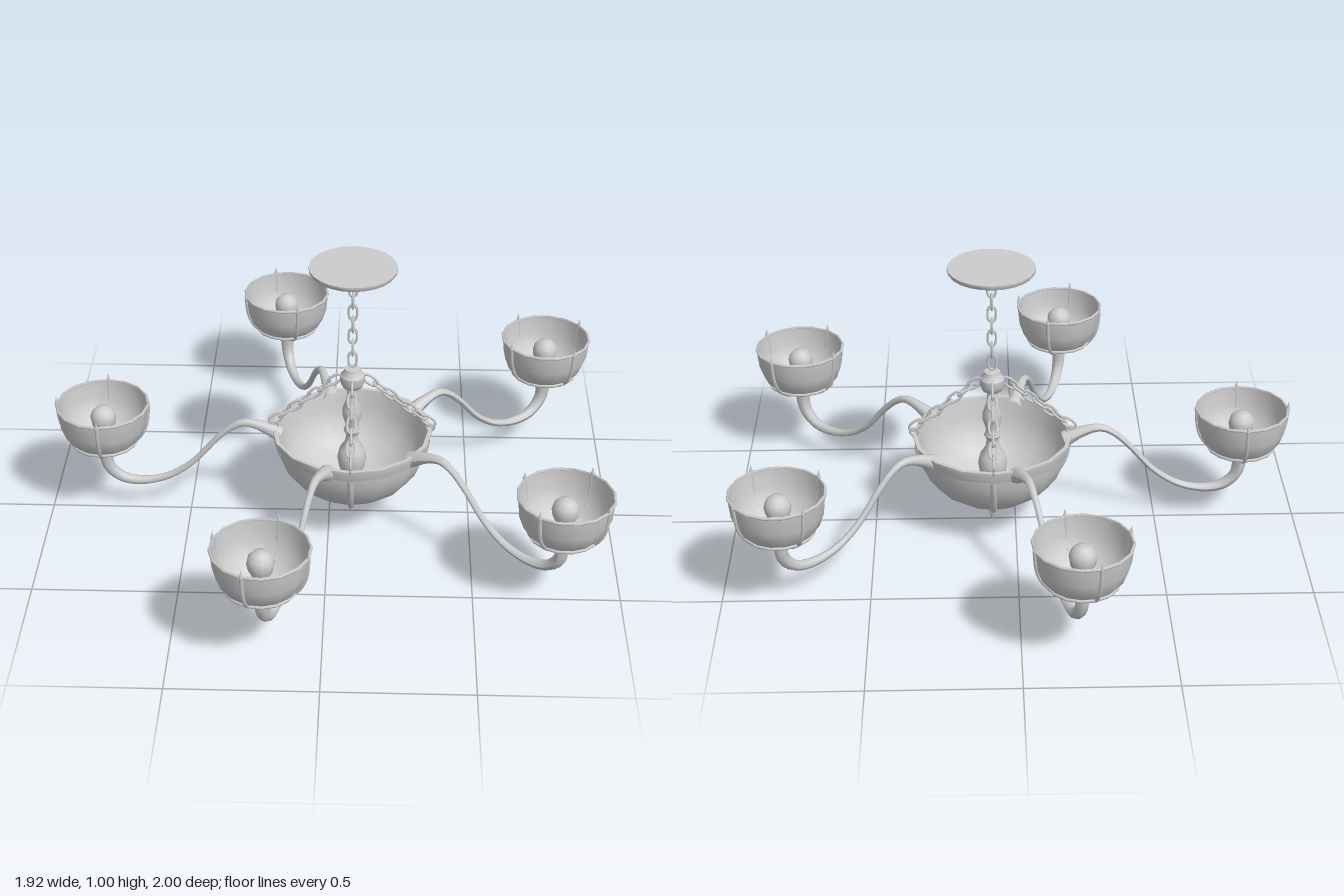
import * as THREE from 'three';
import { toCreasedNormals } from 'three/addons/utils/BufferGeometryUtils.js';

const material = new THREE.MeshStandardMaterial({ color: 0xcccccc, side: THREE.DoubleSide });
const V3 = (x, y, z = 0) => new THREE.Vector3(x, y, z);

function add(parent, name, geometry) {
  const mesh = new THREE.Mesh(geometry, material);
  mesh.name = name;
  parent.add(mesh);
  return mesh;
}

// Turned part from [radius, height] pairs, listed bottom to top
function turned(profile, sides = 16) {
  const points = profile.map(([r, y]) => new THREE.Vector2(r, y));
  return toCreasedNormals(new THREE.LatheGeometry(points, sides), 0.7);
}

// Tube whose thickness follows a list of radii spread evenly along it
function taperedTube(points, radii, segments = 32, sides = 8) {
  const curve = new THREE.CatmullRomCurve3(points);
  const geometry = new THREE.TubeGeometry(curve, segments, 1, sides);
  const pos = geometry.attributes.position;
  const p = V3(0, 0);
  for (let i = 0; i < pos.count; i++) {
    const t = Math.floor(i / (sides + 1)) / segments;
    const s = t * (radii.length - 1);
    const k = Math.min(Math.floor(s), radii.length - 2);
    const r = THREE.MathUtils.lerp(radii[k], radii[k + 1], s - k);
    const centre = curve.getPointAt(t);
    p.fromBufferAttribute(pos, i).sub(centre).multiplyScalar(r).add(centre);
    pos.setXYZ(i, p.x, p.y, p.z);
  }
  geometry.computeVertexNormals();
  return geometry;
}

// Oval chain link standing in the xy plane
const w = 0.013, h = 0.027;
const linkCurve = new THREE.CatmullRomCurve3([
  V3(w, -h * 0.6), V3(w, h * 0.6), V3(w * 0.55, h), V3(-w * 0.55, h),
  V3(-w, h * 0.6), V3(-w, -h * 0.6), V3(-w * 0.55, -h), V3(w * 0.55, -h),
], true, 'centripetal');
const linkGeometry = new THREE.TubeGeometry(linkCurve, 20, 0.0045, 6, true);

function chain(parent, name, from, to, count) {
  const group = new THREE.Group();
  group.name = name;
  const direction = to.clone().sub(from).normalize();
  for (let i = 0; i < count; i++) {
    const link = add(group, 'chainLink', linkGeometry);
    link.position.lerpVectors(from, to, (i + 0.5) / count);
    link.quaternion.setFromUnitVectors(V3(0, 1), direction);
    if (i % 2) link.rotateY(Math.PI / 2);
  }
  parent.add(group);
}

function ring(parent, name, radius, thickness, y) {
  const mesh = add(parent, name, new THREE.TorusGeometry(radius, thickness, 6, 16));
  mesh.rotation.set(Math.PI / 2, 0, Math.PI / 2);
  mesh.position.y = y;
}

// Four raised ribs that follow a bowl's profile
function ribs(parent, profile, radius) {
  const curve = new THREE.CatmullRomCurve3(profile.map(([r, y]) => V3(r, y)));
  const geometry = new THREE.TubeGeometry(curve, 16, radius, 6);
  for (let i = 0; i < 4; i++) add(parent, 'rib', geometry).rotation.y = i * Math.PI / 2;
}

const cupProfile = [[0.02, 0.253], [0.06, 0.262], [0.105, 0.287], [0.138, 0.325], [0.154, 0.37], [0.161, 0.44]];
const bowlProfile = [[0.02, 0.09], [0.08, 0.1], [0.15, 0.13], [0.205, 0.172], [0.24, 0.22], [0.26, 0.27], [0.266, 0.31]];

// Glass cup with its cage and bulb, centred on the y axis
function makeCup() {
  const cup = new THREE.Group();
  cup.name = 'lampCup';
  const inner = cupProfile.map(([r, y]) => [r - 0.004, y + 0.003]).reverse();
  add(cup, 'shade', turned([[0, 0.253], ...cupProfile, ...inner, [0, 0.257]]));
  ribs(cup, cupProfile, 0.007);
  ring(cup, 'cageRing', 0.118, 0.006, 0.297);
  ring(cup, 'rimRing', 0.16, 0.005, 0.438);
  for (let i = 0; i < 4; i++) {
    const a = i * Math.PI / 2;
    const spike = add(cup, 'spike', new THREE.ConeGeometry(0.007, 0.03, 6));
    spike.position.set(0.162 * Math.cos(a), 0.453, 0.162 * Math.sin(a));
  }
  add(cup, 'bulb', turned([[0.024, 0.255], [0.024, 0.31], [0.03, 0.335], [0.042, 0.362],
    [0.046, 0.385], [0.041, 0.405], [0.026, 0.422], [0, 0.43]], 12));
  return cup;
}

export function createModel() {
  const model = new THREE.Group();
  model.name = 'chandelier';
  const body = new THREE.Group();
  body.name = 'body';
  body.position.x = 0.08;
  model.add(body);

  // Ceiling plate and hanging chain
  add(body, 'ceilingPlate', turned([[0, 0.925], [0.028, 0.925], [0.03, 0.948], [0.042, 0.95], [0.05, 0.962],
    [0.1, 0.968], [0.12, 0.978], [0.145, 0.98], [0.15, 0.987], [0.15, 0.997], [0, 0.997]], 24));
  chain(body, 'hangingChain', V3(0, 0.615), V3(0, 0.937), 7);

  // Turned column standing in the bowl
  add(body, 'column', turned([[0, 0.1], [0.05, 0.1], [0.05, 0.14], [0.03, 0.16], [0.046, 0.2], [0.052, 0.235],
    [0.045, 0.27], [0.026, 0.3], [0.02, 0.33], [0.03, 0.35], [0.022, 0.37], [0.034, 0.41], [0.034, 0.44],
    [0.02, 0.48], [0.018, 0.52], [0.034, 0.53], [0.043, 0.55], [0.043, 0.575], [0.03, 0.59], [0.028, 0.602], [0, 0.605]]));

  // Central bowl, its band, ribs and bottom finial
  const inner = bowlProfile.map(([r, y]) => [r - 0.008, y + 0.006]).reverse();
  add(body, 'bowl', turned([[0, 0.088], ...bowlProfile, [0.272, 0.312], [0.282, 0.348], [0.282, 0.355],
    [0.268, 0.355], ...inner, [0, 0.098]]));
  ribs(body, bowlProfile, 0.011);
  add(body, 'finial', turned([[0, 0.002], [0.007, 0.006], [0.014, 0.03], [0.016, 0.042], [0.01, 0.048], [0.012, 0.058],
    [0.022, 0.068], [0.022, 0.078], [0.036, 0.085], [0.045, 0.096], [0, 0.1]], 12));

  // Four stay chains from the column to the rim
  for (let i = 0; i < 4; i++) {
    const stay = new THREE.Group();
    stay.name = 'stay';
    stay.rotation.y = i * Math.PI / 2;
    chain(stay, 'stayChain', V3(0.045, 0.568), V3(0.285, 0.378), 7);
    const hook = add(stay, 'rimHook', new THREE.TorusGeometry(0.014, 0.005, 6, 12));
    hook.position.set(0.275, 0.365, 0);
    body.add(stay);
  }

  // Five curved arms, each ending in a cup
  const armPath = [V3(0.255, 0.328), V3(0.31, 0.355), V3(0.38, 0.372), V3(0.425, 0.352), V3(0.48, 0.302), V3(0.57, 0.2),
    V3(0.66, 0.14), V3(0.75, 0.12), V3(0.82, 0.132), V3(0.866, 0.175), V3(0.877, 0.22), V3(0.877, 0.262)];
  const armGeometry = taperedTube(armPath, [0.03, 0.017, 0.012, 0.011, 0.011, 0.012, 0.014, 0.018, 0.022, 0.027]);
  for (let i = 0; i < 5; i++) {
    const arm = new THREE.Group();
    arm.name = 'arm';
    arm.rotation.y = Math.PI * (0.2 + 0.4 * i);
    add(arm, 'armTube', armGeometry);
    const cup = makeCup();
    cup.position.x = 0.877;
    arm.add(cup);
    body.add(arm);
  }
  return model;
}
